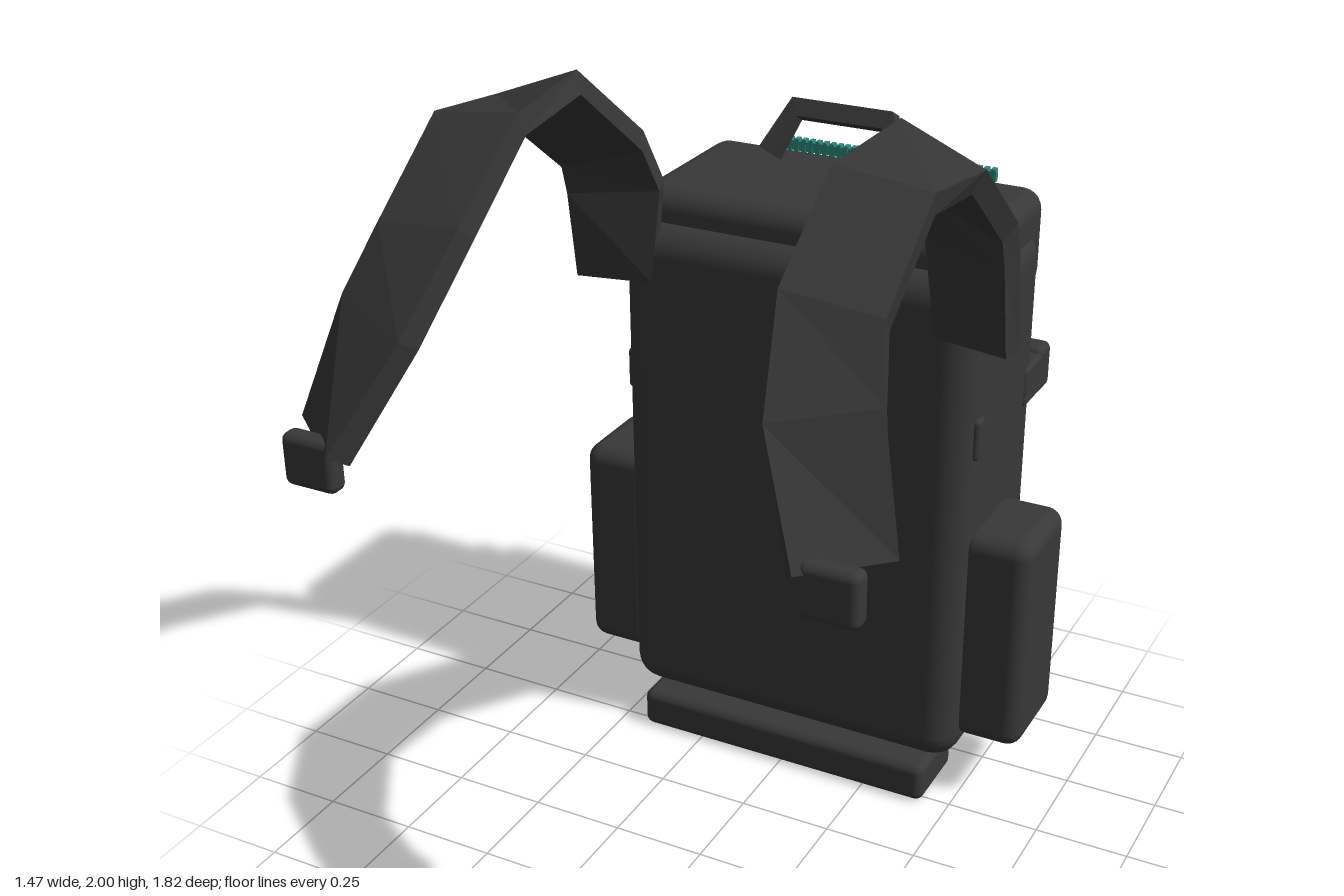
import * as THREE from 'three';
import { RoundedBoxGeometry } from 'three/addons/geometries/RoundedBoxGeometry.js';

const mat = (name, color) => {
  const m = new THREE.MeshStandardMaterial({ color });
  m.name = name;
  return m;
};

// Lofts a flat band through pairs of edge points, with the given thickness and end caps.
function bandGeometry(pairs, thickness) {
  const mids = pairs.map(([a, b]) => a.clone().add(b).multiplyScalar(0.5));
  const rings = pairs.map(([a, b], i) => {
    const tangent = mids[Math.min(i + 1, mids.length - 1)].clone().sub(mids[Math.max(i - 1, 0)]);
    const n = tangent.cross(b.clone().sub(a)).normalize().multiplyScalar(thickness / 2);
    return [a.clone().add(n), b.clone().add(n), b.clone().sub(n), a.clone().sub(n)];
  });
  const pos = [];
  const quad = (a, b, c, d) => [a, b, c, a, c, d].forEach((p) => pos.push(p.x, p.y, p.z));
  for (let i = 0; i < rings.length - 1; i++) {
    for (let k = 0; k < 4; k++) {
      const j = (k + 1) % 4;
      quad(rings[i][k], rings[i + 1][k], rings[i + 1][j], rings[i][j]);
    }
  }
  const s = rings[0], e = rings[rings.length - 1];
  quad(s[0], s[1], s[2], s[3]);
  quad(e[3], e[2], e[1], e[0]);
  const g = new THREE.BufferGeometry();
  g.setAttribute('position', new THREE.Float32BufferAttribute(pos, 3));
  g.computeVertexNormals();
  return g;
}

export function createModel() {
  const model = new THREE.Group();
  model.name = 'backpack';
  const fabric = mat('charcoal fabric', 0x383838);
  const strapFabric = mat('strap fabric', 0x363636);
  strapFabric.side = THREE.DoubleSide;
  const webbing = mat('dark webbing', 0x303030);
  const teal = mat('teal zip', 0x2a8c80);

  const add = (name, geometry, material) => {
    const mesh = new THREE.Mesh(geometry, material);
    mesh.name = name;
    model.add(mesh);
    return mesh;
  };
  // Box given by its extents; r > 0 rounds the edges
  const box = (name, [x0, x1], [y0, y1], [z0, z1], r, material = fabric) => {
    const size = [x1 - x0, y1 - y0, z1 - z0];
    const g = r > 0 ? new RoundedBoxGeometry(...size, 3, r) : new THREE.BoxGeometry(...size);
    add(name, g, material).position.set((x0 + x1) / 2, (y0 + y1) / 2, (z0 + z1) / 2);
  };
  // The same box on both sides
  const pair = (name, [x0, x1], y, z, r, material) => {
    box(name + 'Left', [x0, x1], y, z, r, material);
    box(name + 'Right', [-x1, -x0], y, z, r, material);
  };

  // Main bag, lid and base roll
  box('mainBag', [-0.495, 0.495], [0.11, 1.51], [-0.755, -0.25], 0.08);
  box('lid', [-0.478, 0.478], [1.32, 1.592], [-0.795, -0.305], 0.055);
  box('baseRoll', [-0.43, 0.43], [0, 0.112], [-0.435, -0.215], 0.025);

  // Side pockets
  pair('sidePocket', [0.46, 0.66], [0.18, 0.8], [-0.59, -0.31], 0.045);

  // Rear pocket with flap, clasp and webbing rows
  box('rearPocket', [-0.39, 0.39], [0.28, 1.1], [-0.883, -0.72], 0.035);
  box('pocketFlap', [-0.395, 0.395], [0.95, 1.15], [-0.893, -0.76], 0.03);
  box('clasp', [-0.04, 0.04], [0.91, 1.025], [-0.915, -0.86], 0.018);
  for (const y of [0.315, 0.455, 0.605]) {
    box('webbingRow', [-0.32, 0.32], [y - 0.02, y + 0.02], [-0.903, -0.875], 0, webbing);
  }

  // Compression straps with their buckles
  pair('compressionStrap', [0.44, 0.502], [1.02, 1.13], [-0.78, -0.655], 0.012);
  pair('compressionBuckle', [0.41, 0.5], [1.01, 1.14], [-0.855, -0.775], 0.02);
  pair('strapAnchor', [0.46, 0.505], [1.015, 1.13], [-0.35, -0.305], 0.012);

  // Small tabs on the lid and under the pocket
  pair('lidTab', [0.21, 0.29], [1.335, 1.4], [-0.808, -0.78], 0.008, webbing);
  pair('lowerTab', [0.31, 0.37], [0.205, 0.3], [-0.78, -0.74], 0, webbing);

  // Teal zip with teeth along the back of the lid
  box('zipTape', [-0.335, 0.335], [1.58, 1.606], [-0.805, -0.79], 0, teal);
  for (let i = 0; i < 32; i++) {
    const x = -0.325 + i * 0.021;
    box('zipTooth', [x - 0.006, x + 0.006], [1.575, 1.612], [-0.811, -0.789], 0, teal);
  }

  // Carry handle
  const handlePath = [[-0.18, 1.665, -0.505], [-0.13, 1.775, -0.56], [0.13, 1.775, -0.56], [0.18, 1.665, -0.505]];
  const handlePairs = handlePath.map(([x, y, z]) => [
    new THREE.Vector3(x, y - 0.012, z - 0.022), new THREE.Vector3(x, y + 0.012, z + 0.022)]);
  add('carryHandle', bandGeometry(handlePairs, 0.05), strapFabric);

  // Shoulder straps: inner and outer edge at each bend, from the bag to the free end
  const bends = [
    [[0.4, 1.36, -0.28], [0.6, 1.36, -0.24]],
    [[0.37, 1.62, -0.27], [0.6, 1.6, -0.2]],
    [[0.39, 1.75, -0.215], [0.6, 1.69, -0.17]],
    [[0.4, 1.97, 0.06], [0.61, 1.89, 0.08]],
    [[0.38, 1.95, 0.34], [0.61, 1.92, 0.33]],
    [[0.38, 1.77, 0.58], [0.61, 1.74, 0.56]],
    [[0.43, 1.56, 0.75], [0.65, 1.6, 0.65]],
    [[0.55, 1.31, 0.88], [0.72, 1.32, 0.74]],
  ];
  for (const [side, s] of [['Left', 1], ['Right', -1]]) {
    const pairs = bends.map((b) => {
      const [inner, outer] = b.map(([x, y, z]) => new THREE.Vector3(s * x, y, z));
      return s > 0 ? [inner, outer] : [outer, inner];
    });
    add('shoulderStrap' + side, bandGeometry(pairs, 0.06), strapFabric);
  }
  pair('strapEndBuckle', [0.565, 0.705], [1.22, 1.35], [0.83, 0.885], 0.02);

  return model;
}
